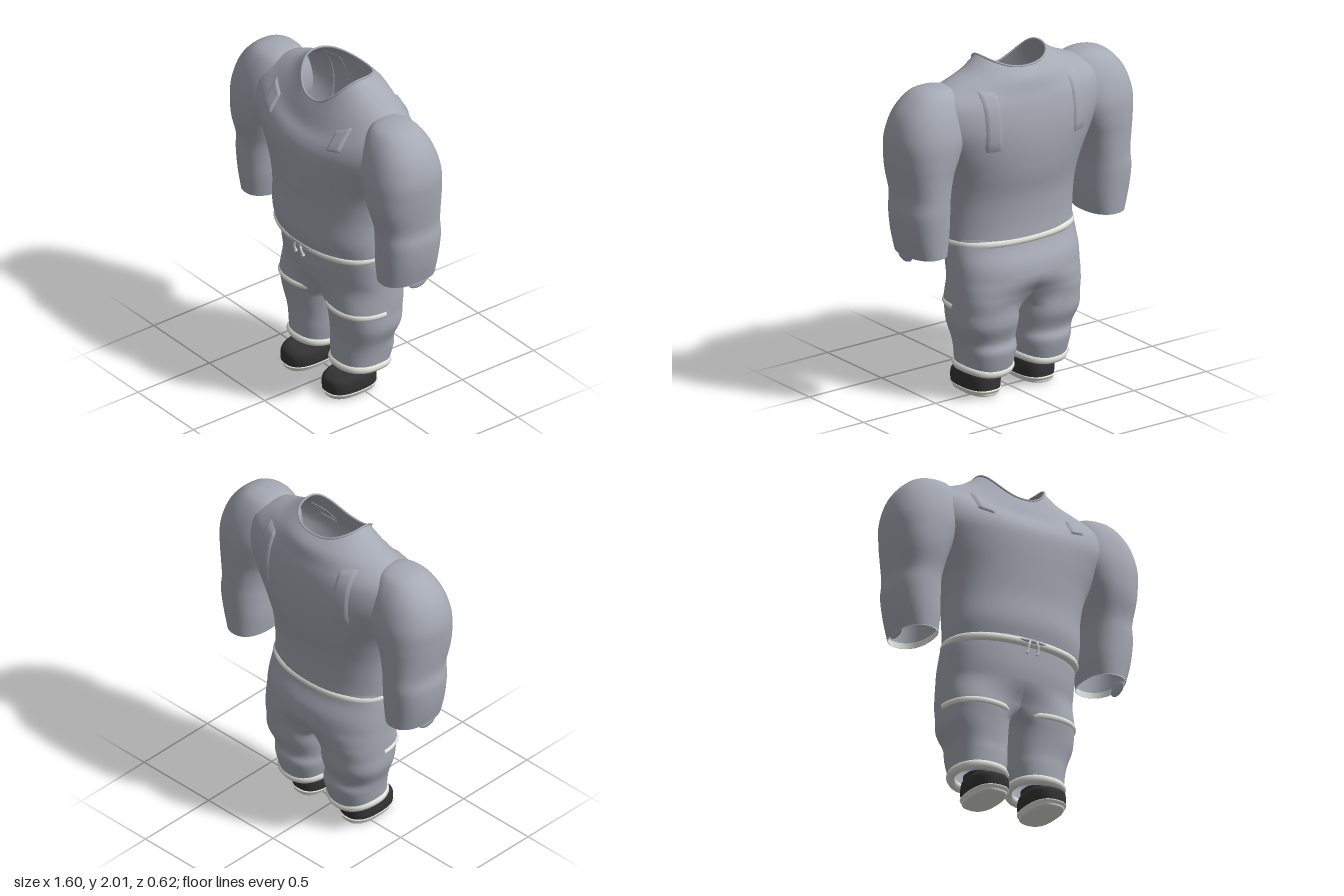
import * as THREE from 'three';

const mat = (name, color) => {
  const m = new THREE.MeshStandardMaterial({ color, side: THREE.DoubleSide });
  m.name = name;
  return m;
};

// Cross-section: [y, xMin, xMax, zBack, zFront, frontLift, backLift]
function ringPoint(s, a, n) {
  const [y, x0, x1, zb, zf, lf = 0, lb = 0] = s;
  const c = Math.cos(a), k = Math.sin(a);
  const px = Math.sign(c) * Math.abs(c) ** (2 / n) * (x1 - x0) / 2;
  const pz = Math.sign(k) * Math.abs(k) ** (2 / n) * (zf - zb) / 2;
  return new THREE.Vector3((x0 + x1) / 2 + px, y + (k > 0 ? lf : lb) * k * k, (zb + zf) / 2 + pz);
}

// Smoothly blended section at v in 0..1
function sectionAt(list, v) {
  const t = v * (list.length - 1), i = Math.min(Math.floor(t), list.length - 2), f = t - i;
  const at = (j, k) => list[Math.max(0, Math.min(list.length - 1, j))][k] ?? 0;
  return Array.from({ length: 7 }, (_, k) => {
    const p0 = at(i - 1, k), p1 = at(i, k), p2 = at(i + 1, k), p3 = at(i + 2, k);
    const m1 = (p2 - p0) / 2, m2 = (p3 - p1) / 2;
    return p1 + f * (m1 + f * (3 * (p2 - p1) - 2 * m1 - m2 + f * (2 * (p1 - p2) + m1 + m2)));
  });
}

// Indexed grid of points; wrap joins the last column to the first, skip leaves holes
function grid(rows, cols, wrap, fn, skip = () => false) {
  const pos = [], idx = [], w = wrap ? cols : cols + 1;
  for (let r = 0; r <= rows; r++) for (let c = 0; c < w; c++) pos.push(...fn(r / rows, c / cols).toArray());
  for (let r = 0; r < rows; r++) for (let c = 0; c < cols; c++) {
    if (skip((r + 0.5) / rows, (c + 0.5) / cols)) continue;
    const a = r * w + c, b = r * w + (c + 1) % w;
    idx.push(a, b, a + w, b, b + w, a + w);
  }
  const g = new THREE.BufferGeometry();
  g.setAttribute('position', new THREE.Float32BufferAttribute(pos, 3));
  g.setIndex(idx);
  g.computeVertexNormals();
  return g;
}

const loft = (list, n = 2.3) =>
  grid((list.length - 1) * 5, 64, true, (v, u) => ringPoint(sectionAt(list, v), u * Math.PI * 2, n));

// Round cord following a cross-section between two angles
function cord(s, r, from = 0, to = Math.PI * 2) {
  const closed = to - from > 6.28, pts = [];
  for (let i = 0; i < (closed ? 40 : 41); i++) pts.push(ringPoint(s, from + (to - from) * i / 40, 2.3));
  return new THREE.TubeGeometry(new THREE.CatmullRomCurve3(pts, closed), 64, r, 8, closed);
}

const sym = (y, w, zb, zf, ...rest) => [y, -w, w, zb, zf, ...rest];

const TORSO_N = 2.1;
const TORSO = [
  sym(2.0, 0.205, -0.19, 0.17, -0.155, -0.05),
  sym(1.935, 0.3, -0.245, 0.2, -0.15, -0.04),
  sym(1.88, 0.43, -0.27, 0.235, -0.17, -0.065),
  sym(1.8, 0.57, -0.29, 0.28, -0.15, -0.06),
  sym(1.66, 0.6, -0.305, 0.305, -0.07, -0.03),
  sym(1.5, 0.53, -0.305, 0.308),
  sym(1.35, 0.457, -0.285, 0.295),
  sym(1.2, 0.425, -0.25, 0.282),
  sym(1.05, 0.418, -0.235, 0.285),
  sym(0.955, 0.412, -0.235, 0.266),
];
const ARM = [
  [1.888, 0.529, 0.531, -0.006, -0.004], [1.88, 0.45, 0.6, -0.07, 0.06], [1.845, 0.395, 0.672, -0.13, 0.125],
  [1.75, 0.36, 0.753, -0.185, 0.18], [1.62, 0.36, 0.795, -0.22, 0.215], [1.5, 0.405, 0.793, -0.222, 0.22],
  [1.4, 0.448, 0.782, -0.215, 0.21], [1.28, 0.475, 0.767, -0.21, 0.18], [1.18, 0.48, 0.775, -0.21, 0.175],
  [1.05, 0.482, 0.76, -0.2, 0.17], [0.93, 0.497, 0.73, -0.19, 0.16],
];
const LINING = [[0.965, 0.499, 0.731, -0.188, 0.158], [0.929, 0.502, 0.725, -0.185, 0.155]];
const TROUSERS = [
  [0.97, 0.01, 0.4, -0.22, 0.21], [0.9, 0.01, 0.41, -0.235, 0.21], [0.8, 0.01, 0.412, -0.275, 0.205],
  [0.7, 0.01, 0.411, -0.283, 0.188], [0.62, 0.01, 0.41, -0.262, 0.175], [0.55, 0.012, 0.408, -0.243, 0.168],
  [0.45, 0.015, 0.405, -0.235, 0.15], [0.35, 0.02, 0.37, -0.2, 0.135], [0.28, 0.02, 0.355, -0.21, 0.135],
  [0.19, 0.033, 0.342, -0.18, 0.133, 0, -0.03],
];
const SHOE = [
  [0.17, 0.1, 0.275, -0.08, 0.09], [0.14, 0.098, 0.277, -0.085, 0.1], [0.134, 0.092, 0.283, -0.1, 0.165],
  [0.11, 0.08, 0.292, -0.108, 0.205], [0.07, 0.078, 0.294, -0.11, 0.212], [0.035, 0.083, 0.29, -0.109, 0.211],
];
const SOLE = [
  [0.044, 0.18, 0.19, 0.04, 0.06], [0.042, 0.087, 0.286, -0.105, 0.207], [0.02, 0.088, 0.285, -0.106, 0.205],
  [0.002, 0.105, 0.268, -0.09, 0.185], [0, 0.18, 0.19, 0.04, 0.06],
];

// One half of the trousers: half a hip ring that turns into a whole leg ring below the crotch
function trouserHalf(side) {
  const arc = 0.75 * Math.PI, n = 2.3;
  return grid(90, 64, true, (v, u) => {
    const a = (u - 0.5) * 2 * Math.PI * side, s = sectionAt(TROUSERS, v);
    const hip = ringPoint([s[0], -s[2], ...s.slice(2)], Math.min(Math.abs(a) / arc, 1) * Math.PI / 2 * Math.sign(a), n);
    if (Math.abs(a) > arc) {
      const mid = (s[3] + s[4]) / 2;
      hip.z = mid + (hip.z - mid) * (Math.PI - Math.abs(a)) / (Math.PI - arc);
    }
    const p = ringPoint(s, a, n);
    p.x = THREE.MathUtils.lerp(p.x, hip.x, THREE.MathUtils.smoothstep(s[0], 0.5, 0.6)) * side;
    p.z = THREE.MathUtils.lerp(p.z, hip.z, THREE.MathUtils.smoothstep(s[0], 0.54, 0.74));
    return p;
  }, (v, u) => Math.abs(u - 0.5) > 0.375 && sectionAt(TROUSERS, v)[0] > 0.6);
}

// Raised strip lying on the torso between two x values
function strap(side, v0, v1, back) {
  const angleFor = (s, x) => {
    let lo = 0, hi = Math.PI / 2;
    for (let i = 0; i < 24; i++) {
      const m = (lo + hi) / 2;
      if (ringPoint(s, m, TORSO_N).x > x) lo = m; else hi = m;
    }
    return lo;
  };
  return grid(14, 8, false, (v, u) => {
    const s = sectionAt(TORSO, v0 + (v1 - v0) * v);
    const edge = u === 0 || u === 1 || v === 0 || v === 1;
    const a = angleFor(s, 0.245 + 0.1 * (back === (side > 0) ? u : 1 - u));
    const p = ringPoint(s, back ? -a : a, TORSO_N);
    p.z += (back ? -1 : 1) * (edge ? -0.004 : 0.009);
    p.y += edge ? 0 : 0.004;
    p.x *= side;
    return p;
  });
}

export function createModel() {
  const cloth = mat('grey cloth', 0xa6aab5);
  const trim = mat('cream trim', 0xebebe4);
  const rubber = mat('black rubber', 0x343434);
  const model = new THREE.Group();
  const add = (name, geo, material, parent = model) => {
    const m = new THREE.Mesh(geo, material);
    m.name = name;
    parent.add(m);
    return m;
  };
  const mirrored = list => list.map(([y, a, b, ...r]) => [y, -b, -a, ...r]);

  // Shirt body
  add('shirtBody', loft(TORSO, TORSO_N), cloth);
  add('neckRim', cord(TORSO[0], 0.006), cloth);

  // Waistband and folded hem
  add('waistband', cord(sym(0.937, 0.39, -0.218, 0.24), 0.024), trim);
  const fold = add('hemFold', new THREE.SphereGeometry(1, 20, 10), cloth);
  fold.scale.set(0.1, 0.012, 0.018);
  fold.position.set(0, 0.94, 0.252);

  for (const side of [1, -1]) {
    const label = side > 0 ? 'left' : 'right';
    const half = new THREE.Group();
    half.name = label + 'Half';
    model.add(half);
    const pick = list => (side > 0 ? list : mirrored(list));
    const put = (name, geo, material) => add(label + name, geo, material, half);

    // Sleeve with cuff lining and drooping cuff edge
    put('Sleeve', loft(pick(ARM)), cloth);
    put('CuffLining', loft(pick(LINING)), trim);
    const droop = put('CuffDroop', new THREE.SphereGeometry(1, 16, 10), cloth);
    droop.scale.set(0.01, 0.04, 0.065);
    droop.position.set(side * 0.722, 0.937, -0.015);

    // Shoulder straps, front and back
    put('FrontStrap', strap(side, 0.22, 0.36, false), cloth);
    put('BackStrap', strap(side, 0.2, 0.55, true), cloth);

    // Trouser half, knee band and ankle hem
    put('TrouserHalf', trouserHalf(side), cloth);
    const knee = pick([[0.56, 0.024, 0.397, -0.23, 0.158]])[0];
    const [from, to] = side > 0 ? [0, 2.9] : [0.24, Math.PI];
    put('KneeBand', cord(knee, 0.021, from, to), trim);
    put('AnkleHem', cord(pick([[0.186, 0.045, 0.33, -0.166, 0.122, 0.004, -0.026]])[0], 0.026), trim);

    // Shoe
    put('ShoeUpper', loft(pick(SHOE), 2.6), rubber);
    put('ShoeSole', loft(pick(SOLE), 2.6), trim);

    // Drawstring end
    const path = new THREE.CatmullRomCurve3([
      new THREE.Vector3(side * 0.02, 0.94, 0.265),
      new THREE.Vector3(side * 0.03, 0.915, 0.268),
      new THREE.Vector3(side * 0.033, 0.872, 0.255),
    ]);
    put('DrawstringEnd', new THREE.TubeGeometry(path, 10, 0.007, 6), trim);
    const tip = put('DrawstringKnot', new THREE.SphereGeometry(0.01, 8, 6), trim);
    tip.position.set(side * 0.033, 0.872, 0.255);
  }
  return model;
}
